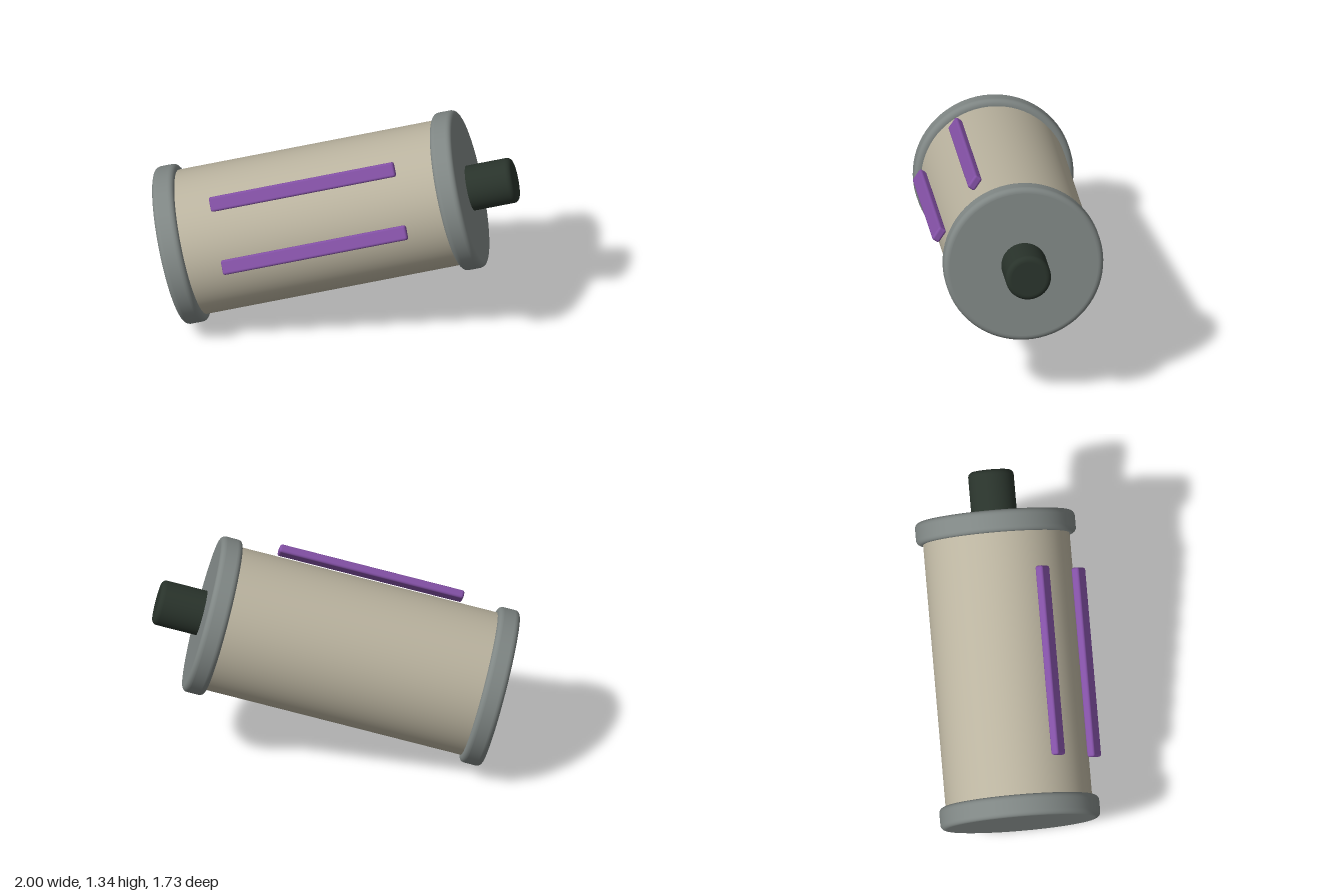
import * as THREE from 'three';
import { RoundedBoxGeometry } from 'three/addons/geometries/RoundedBoxGeometry.js';

const material = (name, color) => {
  const m = new THREE.MeshStandardMaterial({ color });
  m.name = name;
  return m;
};

// Solid disc or rod with rounded rims, centred on its own axis (y)
function roundedCylinder(radius, height, bevel, steps = 6) {
  const h = height / 2, e = 0.002;
  const points = [new THREE.Vector2(0, -h), new THREE.Vector2(radius - bevel - e, -h)];
  for (const side of [-1, 1]) {
    for (let i = 0; i <= steps; i++) {
      const t = (i / steps) * Math.PI / 2;
      const a = side < 0 ? t - Math.PI / 2 : t;
      points.push(new THREE.Vector2(
        radius - bevel + Math.cos(a) * bevel,
        side * (h - bevel) + Math.sin(a) * bevel));
    }
    // Short straight pieces keep the shading of the wall flat
    if (side < 0) {
      points.push(new THREE.Vector2(radius, -h + bevel + e), new THREE.Vector2(radius, h - bevel - e));
    }
  }
  points.push(new THREE.Vector2(radius - bevel - e, h), new THREE.Vector2(0, h));
  return new THREE.LatheGeometry(points, 72);
}

export function createModel() {
  const beige = material('beige body', 0xbab39f);
  const grey = material('grey cap', 0x7f8684);
  const purple = material('purple strip', 0x8250a4);
  const dark = material('dark green knob', 0x29332b);

  const model = new THREE.Group();
  model.name = 'canister';
  const add = (name, geometry, mat, x, y, z) => {
    const mesh = new THREE.Mesh(geometry, mat);
    mesh.name = name;
    mesh.position.set(x, y, z);
    tilted.add(mesh);
  };

  // Everything is built upright, then leaned over as one group
  const tilted = new THREE.Group();
  tilted.name = 'tiltedCanister';
  model.add(tilted);

  const length = 1.8, capHeight = 0.13;

  add('body', new THREE.CylinderGeometry(0.428, 0.428, length - 0.1, 72), beige, 0, 0, 0);

  // End caps
  const cap = roundedCylinder(0.467, capHeight, 0.03);
  add('lowerCap', cap, grey, 0, -(length - capHeight) / 2, 0);
  add('upperCap', cap, grey, 0, (length - capHeight) / 2, 0);

  // Knob on the upper cap, sunk slightly into it
  add('knob', roundedCylinder(0.133, 0.31, 0.03), dark, 0, length / 2 + 0.115, 0);

  // Two parallel strips along the front of the body
  const strip = new RoundedBoxGeometry(0.087, 1.11, 0.05, 3, 0.014);
  add('upperStrip', strip, purple, -0.187, 0, 0.429);
  add('lowerStrip', strip, purple, 0.187, 0, 0.429);

  // Lean: long axis, strip facing and sideways direction
  const axis = new THREE.Vector3(0.8045, 0.2494, -0.539).normalize();
  const facing = new THREE.Vector3(0.496, -0.788, 0.367).cross(axis).normalize();
  const sideways = axis.clone().cross(facing);
  tilted.quaternion.setFromRotationMatrix(new THREE.Matrix4().makeBasis(sideways, axis, facing));
  tilted.position.set(-0.009, 0.671, -0.003);

  return model;
}
